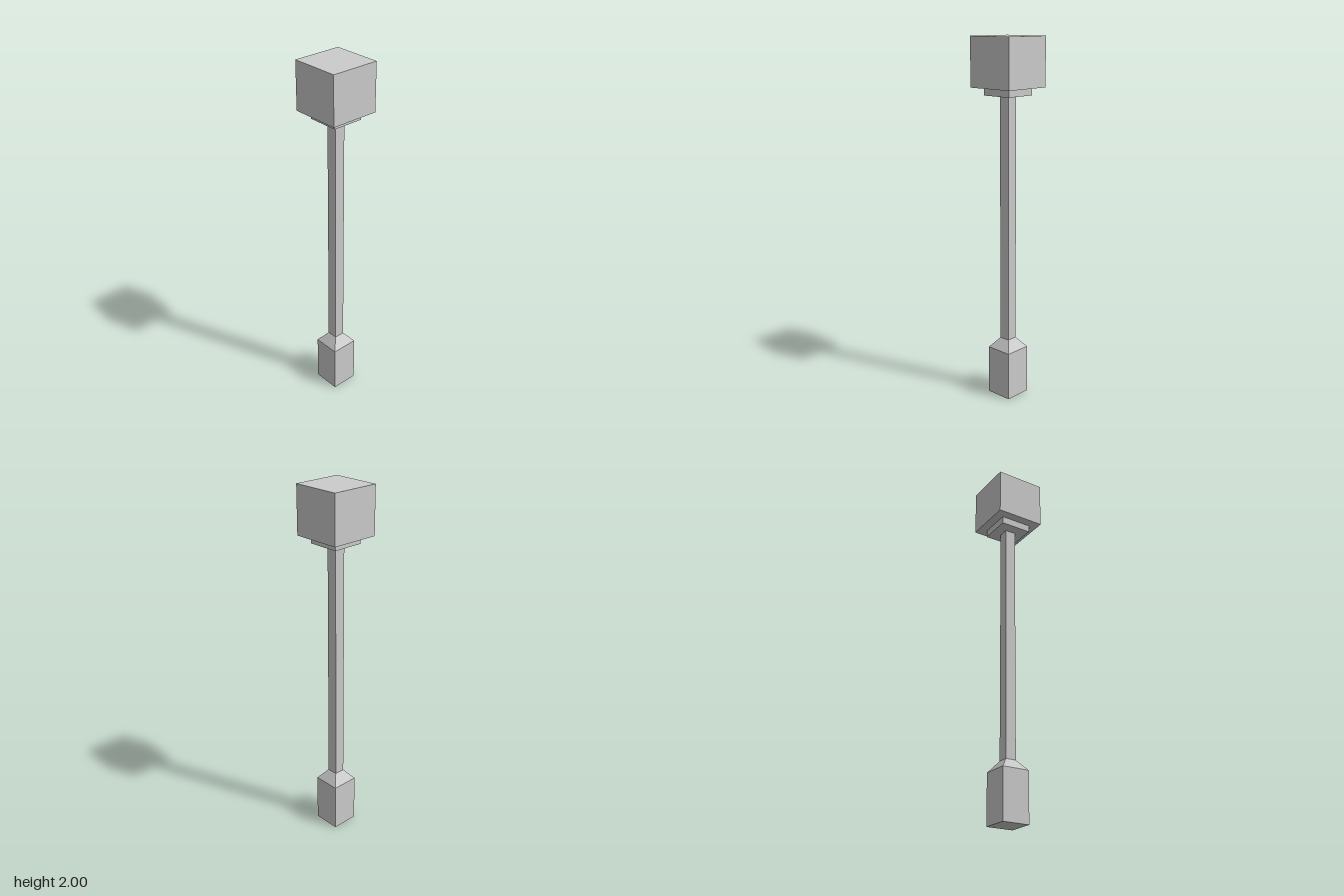
import * as THREE from 'three';

const material = new THREE.MeshStandardMaterial({ color: 0xcccccc, flatShading: true });

// Square section from y0 to y1, tapering from width w0 to width w1
function squareSection(name, y0, y1, w0, w1 = w0) {
  const geometry = new THREE.BoxGeometry(1, y1 - y0, 1);
  const pos = geometry.attributes.position;
  for (let i = 0; i < pos.count; i++) {
    const w = pos.getY(i) < 0 ? w0 : w1;
    pos.setX(i, pos.getX(i) * w);
    pos.setZ(i, pos.getZ(i) * w);
  }
  geometry.translate(0, (y0 + y1) / 2, 0);
  geometry.computeVertexNormals();
  const mesh = new THREE.Mesh(geometry, material);
  mesh.name = name;
  return mesh;
}

export function createModel() {
  const lamp = new THREE.Group();
  lamp.name = 'lampPost';
  lamp.add(
    squareSection('base', 0, 0.275, 0.154),
    squareSection('baseTaper', 0.275, 0.332, 0.154, 0.06),
    squareSection('pole', 0.332, 1.695, 0.06),
    squareSection('collar', 1.695, 1.736, 0.178),
    squareSection('lampHead', 1.736, 2, 0.277),
  );
  return lamp;
}
